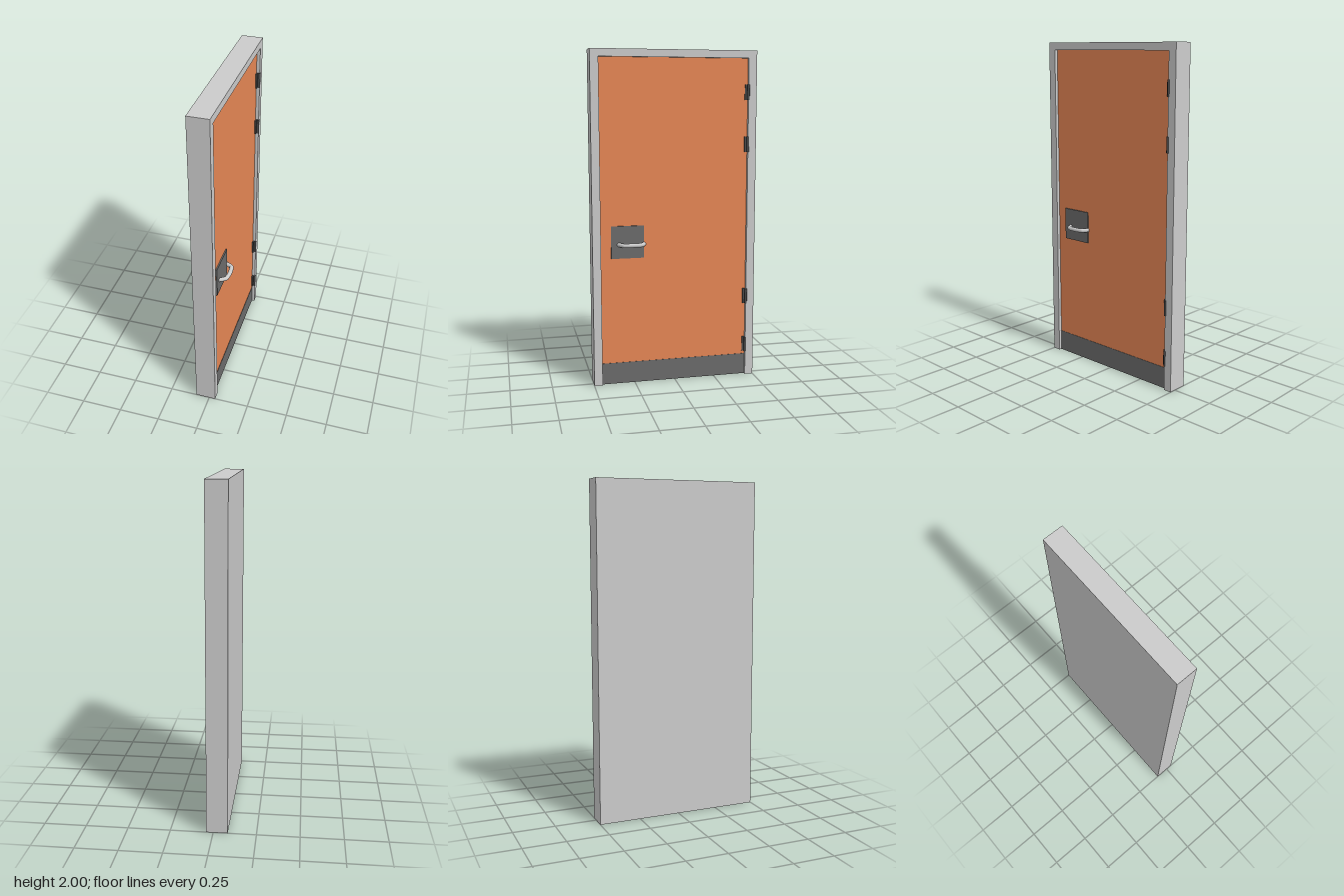
import * as THREE from 'three';

const BACK = -0.084, FRONT = 0.04, PANEL = 0.02; // x of back, frame face and door face

const material = (color) => new THREE.MeshStandardMaterial({ color });

export function createModel() {
  const door = new THREE.Group();
  door.name = 'door';
  const grey = material(0xcccccc);
  const orange = material(0xe78755);
  const darkGrey = material(0x6b6b6b);
  const hingeGrey = material(0x4c4c4c);

  const add = (name, geometry, mat, parent = door) => {
    const mesh = new THREE.Mesh(geometry, mat);
    mesh.name = name;
    parent.add(mesh);
    return mesh;
  };
  // Box given by its lower and upper limits on each axis
  const addBox = (name, mat, [x0, x1], [y0, y1], [z0, z1], parent) => {
    const mesh = add(name, new THREE.BoxGeometry(x1 - x0, y1 - y0, z1 - z0), mat, parent);
    mesh.position.set((x0 + x1) / 2, (y0 + y1) / 2, (z0 + z1) / 2);
    return mesh;
  };

  // Frame: two jambs and a header in one piece, in front of a flat backing
  const outline = new THREE.Shape([
    [-0.5, 0], [-0.45, 0], [-0.45, 1.955], [0.45, 1.955],
    [0.45, 0], [0.5, 0], [0.5, 2], [-0.5, 2],
  ].map(([x, y]) => new THREE.Vector2(x, y)));
  const frameGeometry = new THREE.ExtrudeGeometry(outline, { depth: FRONT, bevelEnabled: false });
  frameGeometry.rotateY(Math.PI / 2);
  add('frame', frameGeometry, grey);
  addBox('backing', grey, [BACK, 0], [0, 2], [-0.5, 0.5]);

  // Recessed door leaf and kick plate
  addBox('doorPanel', orange, [0, PANEL], [0.13, 1.955], [-0.45, 0.45]);
  addBox('kickPlate', darkGrey, [0, PANEL + 0.002], [0, 0.13], [-0.45, 0.45]);

  // Handle plate and bowed pull handle
  addBox('handlePlate', darkGrey, [PANEL, PANEL + 0.008], [0.775, 0.97], [0.19, 0.387]);
  const path = new THREE.CurvePath();
  const p = (x, z) => new THREE.Vector3(x, 0.858, z);
  const bow = [p(0.062, 0.209), p(0.067, 0.236), p(0.068, 0.264), p(0.067, 0.29), p(0.062, 0.317)];
  const points = [p(0.022, 0.188), p(0.045, 0.198), ...bow, p(0.045, 0.33), p(0.022, 0.342)];
  for (let i = 1; i < points.length; i++) path.add(new THREE.LineCurve3(points[i - 1], points[i]));
  add('handle', new THREE.TubeGeometry(path, 40, 0.0125, 14, false), grey);

  // Hinges: a leaf on the door and a barrel at the jamb
  for (const y of [0.195, 0.505, 1.445, 1.755]) {
    const hinge = new THREE.Group();
    hinge.name = 'hinge';
    addBox('hingeLeaf', hingeGrey, [PANEL, PANEL + 0.008], [y - 0.046, y + 0.046], [-0.45, -0.432], hinge);
    const barrel = add('hingeBarrel', new THREE.CylinderGeometry(0.008, 0.008, 0.092, 12), hingeGrey, hinge);
    barrel.position.set(0.036, y, -0.45);
    door.add(hinge);
  }
  return door;
}
